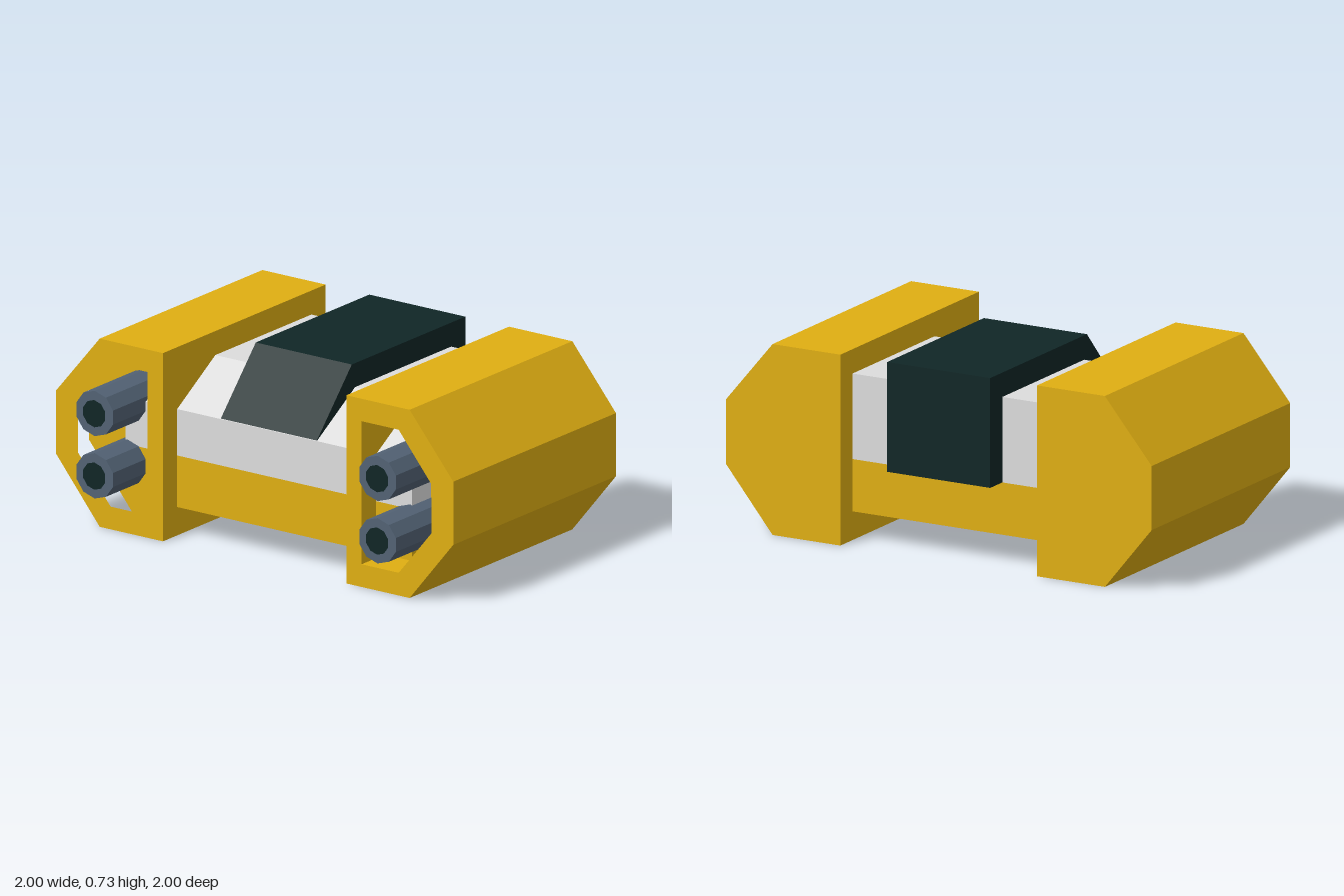
import * as THREE from 'three';

const mat = (name, color) => {
  const m = new THREE.MeshStandardMaterial({ color });
  m.name = name;
  return m;
};

const toShape = (pts) => new THREE.Shape(pts.map(([x, y]) => new THREE.Vector2(x, y)));

// extrude an (x, y) outline from z0 to z1
function slab(shape, z0, z1) {
  const g = new THREE.ExtrudeGeometry(shape, { depth: z1 - z0, bevelEnabled: false });
  return g.translate(0, 0, z0);
}

// extrude a (z, y) side profile across x, centred
const across = (pts, halfWidth) => slab(toShape(pts), -halfWidth, halfWidth).rotateY(-Math.PI / 2);

export function createModel() {
  const yellow = mat('yellow paint', 0xdfae12);
  const grey = mat('light grey', 0xdcdcdc);
  const dark = mat('dark glass', 0x102626);
  const steel = mat('blue steel', 0x526274);

  const root = new THREE.Group();
  root.name = 'craft';
  const body = new THREE.Group();
  body.name = 'body';
  body.rotation.y = -Math.PI / 4; // the craft sits diagonally
  root.add(body);

  const add = (parent, name, geometry, material) => {
    const mesh = new THREE.Mesh(geometry, material);
    mesh.name = name;
    parent.add(mesh);
    return mesh;
  };

  // central hull: yellow keel, grey cabin and dark canopy
  const keel = add(body, 'keel', new THREE.BoxGeometry(1.312, 0.2, 0.834), yellow);
  keel.position.y = 0.21;
  add(body, 'cabin', across(
    [[-0.417, 0.31], [0.417, 0.31], [0.417, 0.49], [0.18, 0.637], [-0.417, 0.637]], 0.657), grey);
  add(body, 'canopy', across(
    [[-0.505, 0.31], [-0.4, 0.31], [0.417, 0.492], [0.2, 0.73], [-0.505, 0.73]], 0.22), dark);

  // side pods, hollowed at the front, each with two barrels
  const outline = [[0.42, 0], [0.71, 0], [0.91, 0.245], [0.91, 0.49], [0.71, 0.73], [0.42, 0.73]];
  const opening = [[0.49, 0.088], [0.66, 0.088], [0.81, 0.27], [0.81, 0.46], [0.66, 0.643], [0.49, 0.643]];
  for (const side of [-1, 1]) {
    const pod = new THREE.Group();
    pod.name = side > 0 ? 'leftPod' : 'rightPod';
    body.add(pod);
    const flip = (pts) => pts.map(([x, y]) => [x * side, y]);

    add(pod, 'podBody', slab(toShape(flip(outline)), -0.505, 0.3), yellow);
    const rim = toShape(flip(outline));
    rim.holes.push(toShape(flip(opening)));
    add(pod, 'podRim', slab(rim, 0.3, 0.505), yellow);

    for (const y of [0.24, 0.482]) {
      const barrel = new THREE.CylinderGeometry(0.088, 0.088, 0.34, 10).toNonIndexed();
      barrel.computeVertexNormals();
      barrel.rotateX(Math.PI / 2);
      add(pod, 'barrel', barrel, steel).position.set(0.648 * side, y, 0.45);
      add(pod, 'muzzle', new THREE.CircleGeometry(0.053, 10).rotateZ(Math.PI / 2), dark)
        .position.set(0.648 * side, y, 0.623);
    }
  }
  return root;
}
